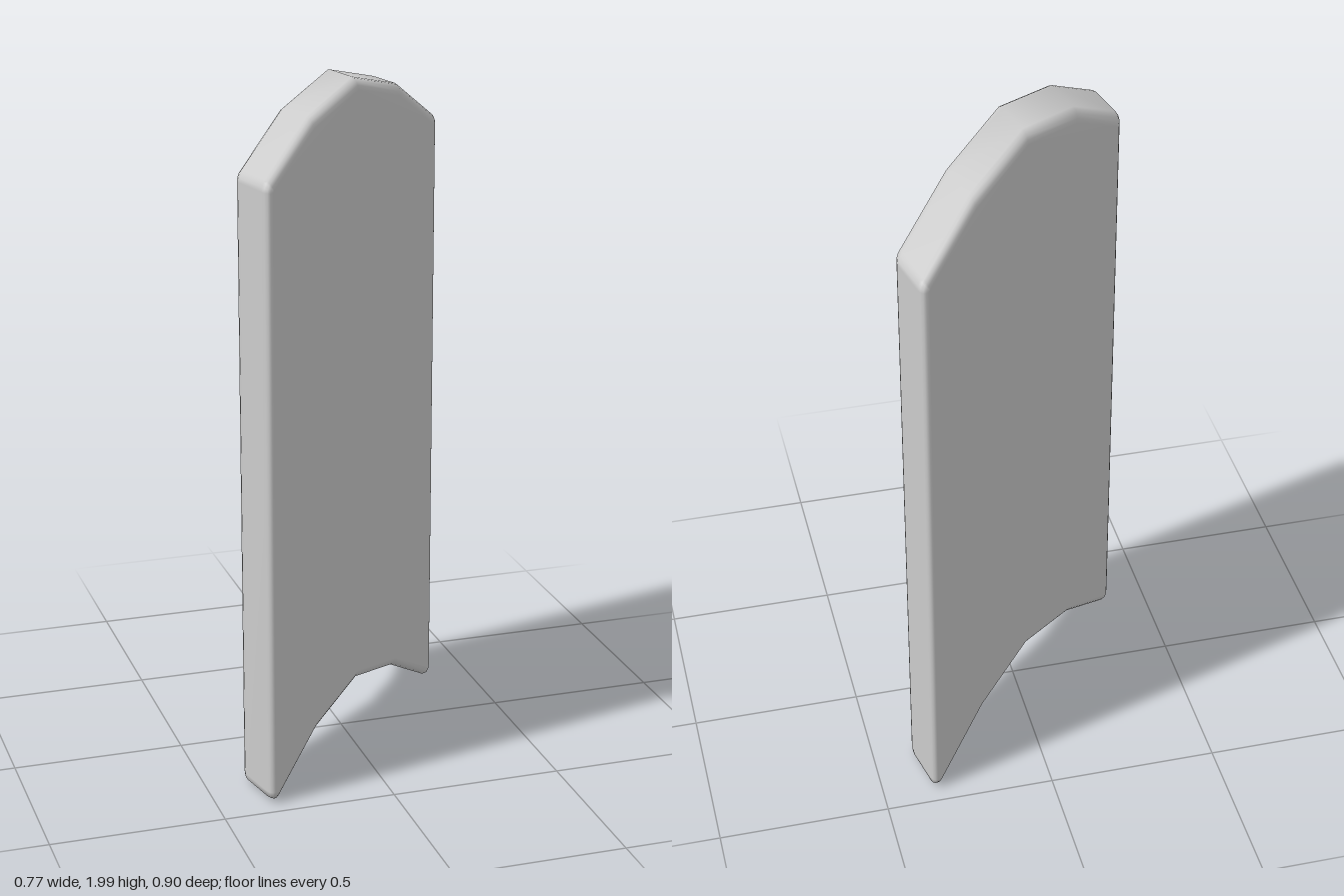
import * as THREE from 'three';
import { mergeVertices } from 'three/addons/utils/BufferGeometryUtils.js';

const BEVEL = 0.03;          // rounding of all edges
const HALF = 0.523 - BEVEL;  // half width of the outline, before the bevel widens it
const THICK = 0.163;

// Chevron slab: peaked top, matching notch at the bottom, slightly rounded corners
function slabOutline() {
  const c = 0.005;
  const s = new THREE.Shape();
  s.moveTo(0, 0.221);
  s.lineTo(0.26, 0.162);
  s.lineTo(HALF - c, 0.041);
  s.quadraticCurveTo(HALF, 0.039, HALF, 0.039 + c);
  s.lineTo(HALF, 1.782 - c);
  s.quadraticCurveTo(HALF, 1.782, HALF - c, 1.784);
  s.lineTo(0.26, 1.908);
  s.lineTo(0, 1.969);
  s.lineTo(-0.26, 1.908);
  s.lineTo(-HALF + c, 1.784);
  s.quadraticCurveTo(-HALF, 1.782, -HALF, 1.782 - c);
  s.lineTo(-HALF, 0.039 + c);
  s.quadraticCurveTo(-HALF, 0.039, -HALF + c, 0.041);
  s.lineTo(-0.26, 0.162);
  s.closePath();
  return s;
}

export function createModel() {
  const group = new THREE.Group();
  group.name = 'chevronPanel';

  let geo = new THREE.ExtrudeGeometry(slabOutline(), {
    depth: THICK - 2 * BEVEL,
    bevelEnabled: true,
    bevelThickness: BEVEL,
    bevelSize: BEVEL,
    bevelSegments: 4,
    curveSegments: 3,
  });
  geo.translate(0, 0, -(THICK / 2 - BEVEL));

  // Turn the slab onto the diagonal and skew its thickness, giving a parallelogram plan
  const along = new THREE.Vector3(Math.SQRT1_2, 0, -Math.SQRT1_2);
  const up = new THREE.Vector3(0, 1, 0);
  const through = new THREE.Vector3(0.245, 0, 1.17);
  geo.applyMatrix4(new THREE.Matrix4().makeBasis(along, up, through));

  // Shared vertices give soft, area-weighted normals over the bevels
  geo.deleteAttribute('normal');
  geo.deleteAttribute('uv');
  geo = mergeVertices(geo, 1e-4);
  geo.computeVertexNormals();
  geo.computeBoundingBox();
  geo.translate(0, -geo.boundingBox.min.y, 0);

  const slab = new THREE.Mesh(geo, new THREE.MeshStandardMaterial({ color: 0xcccccc }));
  slab.name = 'slab';
  group.add(slab);
  return group;
}
